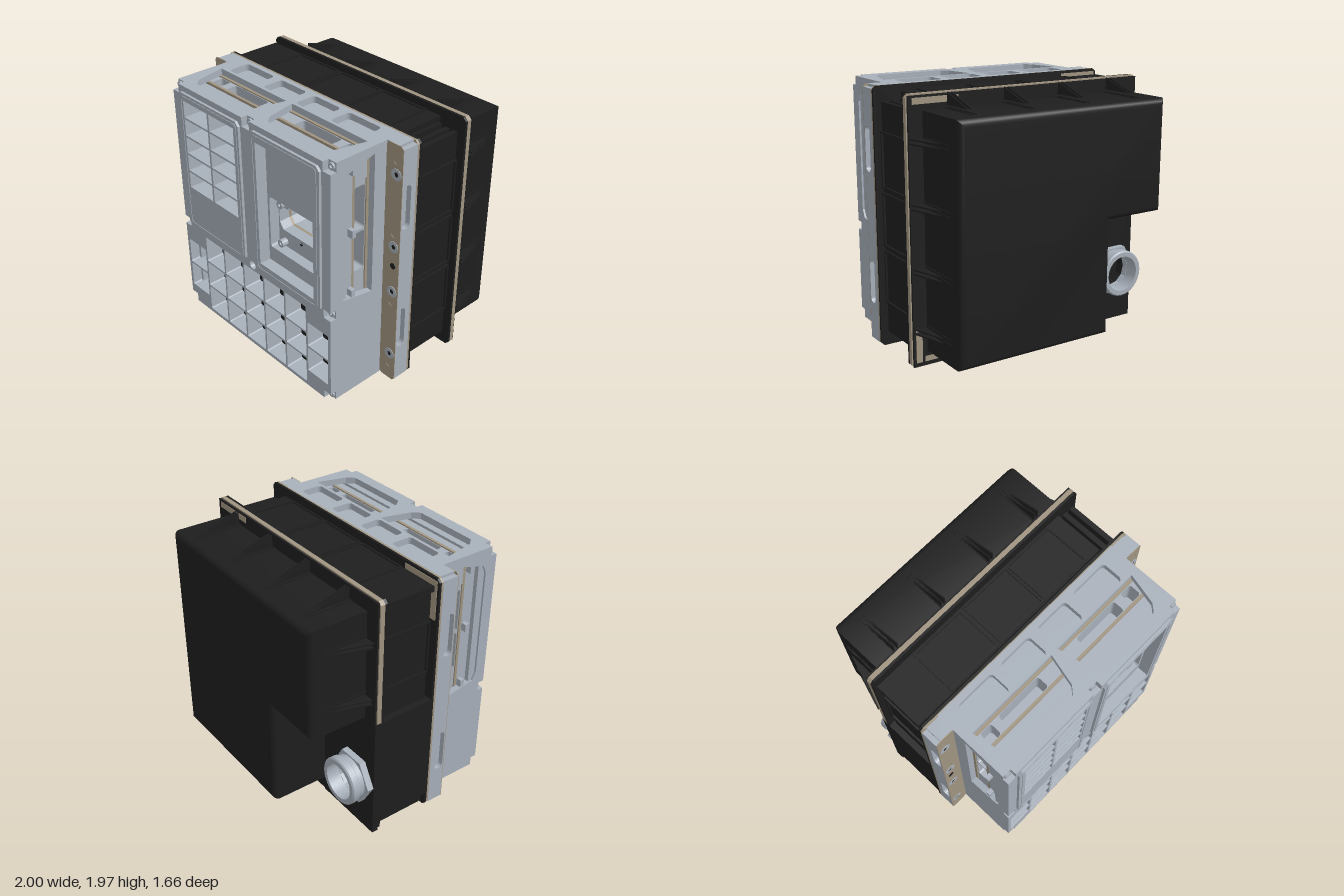
import * as THREE from 'three';
import { toCreasedNormals } from 'three/addons/utils/BufferGeometryUtils.js';

const paint = (name, color) => Object.assign(new THREE.MeshStandardMaterial({ color }), { name });

export function createModel() {
  const root = new THREE.Group();
  root.name = 'equipmentUnit';
  const grey = paint('grey', 0xa8b0ba), tan = paint('tan', 0xa09480), black = paint('black', 0x1e1e1e);

  // ---- helpers ----
  const add = (name, geo, mat) => {
    const m = new THREE.Mesh(geo, mat);
    m.name = name;
    root.add(m);
  };
  const box = (name, mat, x0, x1, y0, y1, z0, z1) =>
    add(name, new THREE.BoxGeometry(x1 - x0, y1 - y0, z1 - z0)
      .translate((x0 + x1) / 2, (y0 + y1) / 2, (z0 + z1) / 2), mat);
  const poly = pts => new THREE.Shape(pts.map(p => new THREE.Vector2(p[0], p[1])));
  const mirrored = pts => poly([...pts, ...pts.map(([x, y]) => [-x, y]).reverse()]);
  const rect = (x0, x1, y0, y1) => poly([[x0, y0], [x1, y0], [x1, y1], [x0, y1]]);
  const chamfered = (x0, x1, y0, y1, c) => poly([[x0 + c, y0], [x1 - c, y0], [x1, y0 + c], [x1, y1 - c],
    [x1 - c, y1], [x0 + c, y1], [x0, y1 - c], [x0, y0 + c]]);
  const round = (x0, x1, y0, y1, r) => {
    const s = new THREE.Shape();
    s.absarc(x1 - r, y0 + r, r, -Math.PI / 2, 0);
    s.absarc(x1 - r, y1 - r, r, 0, Math.PI / 2);
    s.absarc(x0 + r, y1 - r, r, Math.PI / 2, Math.PI);
    s.absarc(x0 + r, y0 + r, r, Math.PI, Math.PI * 1.5);
    return s;
  };
  const disc = (x, y, r) => new THREE.Shape().absarc(x, y, r, 0, Math.PI * 2);
  const extrude = (shape, holes, depth) => {
    shape.holes.push(...holes);
    return new THREE.ExtrudeGeometry(shape, { depth, bevelEnabled: false, curveSegments: 6 });
  };
  // Plates facing z, y (shape drawn as x, -z) and x (shape drawn as -z, y)
  const plateZ = (name, mat, shape, holes, z0, z1) =>
    add(name, extrude(shape, holes, z1 - z0).translate(0, 0, z0), mat);
  const plateY = (name, mat, shape, holes, y0, y1) =>
    add(name, extrude(shape, holes, y1 - y0).rotateX(-Math.PI / 2).translate(0, y0, 0), mat);
  const plateX = (name, mat, shape, holes, x0, x1) =>
    add(name, extrude(shape, holes, x1 - x0).rotateY(Math.PI / 2).translate(x0, 0, 0), mat);

  const H = 1.97, portX = -0.79, portY = 0.43;
  const quarterHole = () => {
    const s = new THREE.Shape();
    s.moveTo(portX + 0.005, portY);
    s.lineTo(portX + 0.14, portY);
    s.absarc(portX + 0.005, portY, 0.135, 0, Math.PI / 2);
    s.closePath();
    return s;
  };

  // ---- key cells ----
  const columns = [-0.478, -0.239, 0, 0.239, 0.478], cells = [];
  for (const x of columns) for (const y of [0.14, 0.377, 0.613]) cells.push([x, y, 0.111]);
  for (const x of [-0.715, 0.715]) for (const y of [0.257, 0.488]) cells.push([x, y, 0.108]);
  const cellHoles = () => cells.map(([x, y, r]) => round(x - r, x + r, y - r, y + r, 0.012));
  const slot = x => rect(x - 0.07, x + 0.07, 0.07, 0.132);

  // ---- front housing ----
  const grid = () => {
    const out = [];
    for (const x of [-0.705, -0.4])
      for (let i = 0; i < 5; i++) out.push(rect(x, x + 0.285, 1.14 + i * 0.148, 1.273 + i * 0.148));
    return out;
  };
  const recess = () => rect(0.12, 0.7, 0.86, 1.85);
  const display = () => poly([[0.15, 1.16], [0.19, 1.11], [0.63, 1.11], [0.67, 1.15], [0.67, 1.3], [0.58, 1.3],
    [0.58, 1.39], [0.25, 1.39], [0.25, 1.3], [0.15, 1.3]]);
  // front face, notched at its edges for the screws
  const notched = mirrored([[0.78, 0], [0.78, 0.07], [0.85, 0.07], [0.85, 0.74], [0.78, 0.74], [0.78, 0.81], [0.85, 0.81],
    [0.85, 1.9], [0.78, 1.9], [0.78, H], [0.04, H], [0.04, 1.9]]);
  plateZ('frontFace', grey, notched, [...cellHoles(), ...grid(), recess(), disc(0, 0.77, 0.035)], 0.76, 0.81);
  plateZ('frontPanel', grey, rect(-0.85, 0.85, 0, H), [...cellHoles(), ...grid(), recess()], 0.73, 0.76);
  plateZ('cellWalls', grey, rect(-0.835, 0.835, 0, 1.92), [...cellHoles(), ...grid(), recess()], 0.66, 0.73);
  for (const [x, y] of [[-0.815, 1.935], [0, 1.935], [0.815, 1.935], [-0.815, 0.775], [0, 0.77], [0.815, 0.775], [-0.815, 0.035], [0.815, 0.035]])
    plateZ('cornerScrew', grey, disc(x, y, 0.027), [disc(x, y, 0.012)], 0.76, 0.775);
  plateZ('leftDoor', grey, chamfered(-0.765, -0.06, 0.785, 1.925, 0.03), grid(), 0.81, 0.83);
  plateZ('rightDoor', grey, chamfered(0.06, 0.765, 0.785, 1.925, 0.03), [recess()], 0.81, 0.83);
  for (const [x0, x1] of [[-0.74, -0.08], [0.08, 0.74]])
    plateZ('doorRim', grey, round(x0, x1, 0.805, 1.905, 0.03), [round(x0 + 0.015, x1 - 0.015, 0.82, 1.89, 0.025)], 0.83, 0.834);

  // layered inside: grey blocks with two tan sheets between them
  plateZ('frontCore', grey, rect(-0.8, 0.8, 0, 1.9), [quarterHole(), display(), ...columns.map(slot)], 0.572, 0.66);
  plateZ('frontSheet', tan, rect(-0.8, 0.8, 0, 1.92), [quarterHole(), display()], 0.55, 0.572);
  plateZ('middleCore', grey, mirrored([[0.8, 0], [0.8, 0.7], [0.6, 0.7], [0.6, 1.72]]), [quarterHole(), display()], 0.442, 0.55);
  plateZ('backSheet', tan, rect(-0.8, 0.8, 0, 1.92), [quarterHole()], 0.42, 0.442);
  plateZ('backCore', grey, rect(-0.8, 0.8, 0, 1.92), [quarterHole()], 0.17, 0.42);

  // instrument pocket in the right door
  plateZ('instrumentFrame', grey, rect(0.12, 0.7, 0.86, 1.85), [round(0.14, 0.675, 0.98, 1.4, 0.02)], 0.66, 0.74);
  plateZ('instrumentDisplay', black, display(), [], 0.442, 0.448);
  for (const x of [0.21, 0.61]) for (const y of [1.02, 1.345]) {
    plateZ('instrumentPost', grey, disc(x, y, 0.03), [disc(x, y, 0.012)], 0.655, 0.71);
    plateZ('instrumentScrew', black, disc(x, y, 0.012), [], 0.66, 0.69);
  }
  plateZ('instrumentPin', black, disc(0.39, 1.08, 0.01), [], 0.66, 0.67);

  // keys at the bottom of the cells
  cells.forEach(([x, y, r], i) => {
    const open = x < -0.6 && y > 0.4, slotted = i < 15 && i % 3 === 0;
    plateZ('keyFloor', black, rect(x - r, x + r, y - r, y + r), open ? [quarterHole()] : slotted ? [slot(x)] : [], 0.655, 0.665);
    if (!open) plateZ('keyCap', black, rect(x - 0.075, x + 0.075, slotted ? y : y - 0.08, y + 0.08), [], 0.665, 0.676);
  });

  // top wall with two windows and four pockets
  const topWindow = (a, b) => poly([[a, -0.42], [a + 0.05, -0.66], [a + 0.1, -0.715], [b - 0.11, -0.715], [b - 0.06, -0.66], [b, -0.42]]);
  const pockets = [[-0.715, -0.4], [-0.32, -0.04], [0.04, 0.315], [0.395, 0.71]];
  plateY('topWall', grey, rect(-0.85, 0.85, -0.73, -0.17),
    [topWindow(-0.78, -0.03), topWindow(0.03, 0.78), ...pockets.map(([a, b]) => round(a, b, -0.395, -0.22, 0.03))], 1.92, H);
  const topSlots = [[-0.74, -0.64], [-0.57, -0.19], [0.19, 0.57], [0.64, 0.74]];
  plateY('topSlots', grey, rect(-0.8, 0.8, -0.55, -0.442), topSlots.map(([a, b]) => round(a, b, -0.545, -0.447, 0.02)), 1.72, 1.91);

  // side walls and mounting flanges, mirrored
  for (const s of [-1, 1]) {
    const span = (a, b) => (s > 0 ? [a, b] : [-b, -a]);
    const sideWindow = poly([[-0.42, 0.81], [-0.69, 0.86], [-0.72, 0.92], [-0.72, 1.78], [-0.69, 1.84], [-0.42, 1.91]]);
    plateX('sideWall', grey, rect(-0.73, -0.17, 0, 1.92), [sideWindow], ...span(0.8, 0.85));
    plateX('sideSlots', grey, rect(-0.55, -0.442, 0.7, 1.72),
      [[1.0, 1.31], [1.33, 1.67]].map(([a, b]) => round(-0.545, -0.447, a, b, 0.02)), ...span(0.6, 0.79));
    for (const y of [0.87, 1.36, 1.84]) box('sideWindowLug', grey, ...span(0.8, 0.845), y - 0.03, y + 0.03, 0.575, 0.61);

    box('flangeCore', grey, ...span(0.85, 0.96), 0, H, 0.18, 0.309);
    plateX('flangeSide', grey, rect(-0.309, -0.18, 0.02, H - 0.02),
      [round(-0.3, -0.225, 0.31, 0.65, 0.035), round(-0.3, -0.225, 1.33, 1.67, 0.035)], ...span(0.96, 1));
    const holes = [0.13, 0.7, 1.28, 1.85];
    plateZ('flangeFace', tan, chamfered(...span(0.85, 1), 0, H, 0.02), holes.map(y => disc(s * 0.945, y, 0.026)), 0.309, 0.314);
    for (const y of holes) plateZ('flangeHole', tan, disc(s * 0.945, y, 0.026), [], 0.308, 0.311);
    for (const y of [0.235, 0.8, 1.18, 1.75]) {
      plateZ('flangeWasher', grey, disc(s * 0.945, y, 0.045), [disc(s * 0.945, y, 0.018)], 0.31, 0.318);
      plateZ('flangeScrew', black, disc(s * 0.945, y, 0.018), [], 0.31, 0.316);
    }
    plateZ('flangePin', black, disc(s * 0.945, 1.02, 0.024), [], 0.31, 0.317);
  }

  // ---- plates between the sections ----
  const fullPlate = () => chamfered(-1, 1, 0, H, 0.025);
  const portHole = () => [disc(portX, portY, 0.14)];
  plateZ('frontGasket', tan, fullPlate(), portHole(), 0.163, 0.18);
  plateZ('middleFrontPlate', black, fullPlate(), portHole(), 0.145, 0.163);
  plateZ('gasketCorner', tan, poly([[-0.98, 1.65], [-0.9, 1.65], [-0.9, 1.89], [-0.65, 1.89], [-0.65, 1.95], [-0.98, 1.95]]), [], 0.141, 0.146);
  plateZ('middleBackPlate', black, fullPlate(), portHole(), -0.31, -0.29);
  const upperPlate = poly([[-0.4, 0], [0.975, 0], [1, 0.025], [1, 1.945], [0.975, H], [-0.975, H], [-1, 1.945], [-1, 1], [-0.4, 1]]);
  plateZ('backGasket', tan, upperPlate, [], -0.345, -0.31);
  plateZ('portPlate', black, rect(-1, -0.4, 0, 1), portHole(), -0.36, -0.31);
  plateZ('backPlate', black, poly([[-0.4, 0.01], [0.99, 0.01], [0.99, 1.96], [-0.99, 1.96], [-0.99, 1], [-0.4, 1]]), [], -0.36, -0.345);
  for (const [x0, x1, y0, y1] of [[0.6, 0.96, 1.9, 1.945], [0.92, 0.97, 0.04, 0.3], [0.45, 0.9, 0.04, 0.08]])
    box('backGasketPatch', tan, x0, x1, y0, y1, -0.364, -0.358);

  // ---- middle section ----
  plateZ('middleBody', black, poly([[-1, 0.12], [0.79, 0.12], [0.79, 1.86], [-0.82, 1.86], [-0.82, 1], [-1, 1]]), [quarterHole()], -0.29, 0.145);
  const bays = [[0.35, 0.76], [0.79, 1.2], [1.23, 1.65]];
  for (const s of [-1, 1]) {
    const span = (a, b) => (s > 0 ? [a, b] : [-b, -a]);
    const y0 = s > 0 ? 0.12 : 1;
    for (const [a, b] of [[0.84, 0.88], [0.91, 0.95]]) box('sideRail', black, ...span(a, b), y0, 1.86, -0.27, 0.12);
    for (const [a, b] of bays) if (a > y0)
      plateX('sideBayRim', black, rect(-0.12, 0.27, a, b), [rect(-0.105, 0.255, a + 0.015, b - 0.015)], ...span(0.95, 0.965));
  }
  for (const [a, b, r0, r1] of [[1.885, 1.925, 1.925, 1.935], [0.05, 0.1, 0.04, 0.05]]) {
    box('crossRail', black, -0.98, 0.79, a, b, -0.27, 0.12);
    for (const x of [-0.66, -0.19, 0.22])
      plateY('crossRailRim', black, rect(x, x + 0.45, -0.11, 0.26), [rect(x + 0.015, x + 0.435, -0.095, 0.245)], r0, r1);
  }

  // ---- back cover with a notch for the port ----
  const b = 0.05;
  const cover = poly([[-0.4 + b, 0.12 + b], [0.88 - b, 0.12 + b], [0.88 - b, 1.855 - b], [-0.88 + b, 1.855 - b], [-0.88 + b, 1 + b], [-0.4 + b, 1 + b]]);
  const coverGeo = new THREE.ExtrudeGeometry(cover, { depth: 0.42, bevelSize: b, bevelThickness: b, bevelSegments: 5 });
  add('backCover', toCreasedNormals(coverGeo.translate(0, 0, -0.78), 0.6), black);

  // low ridges and raised fins around the cover, in pairs
  const ridge = [[0.36, -0.01], [0.36, 0.008], [0.72, 0.006], [0.75, -0.01]];
  const fin = [[0.385, 0.028], [0.385, 0.115], [0.66, 0.028]];
  for (const c of [-0.7, -0.25, 0.22, 0.68]) for (const d of [-0.02, 0.012]) for (const part of [ridge, fin]) {
    const x = c + d, y = 0.985 + c * 0.985 + d, name = part === fin ? 'coverFin' : 'coverRidge';
    plateX(name, black, poly(part.map(([z, h]) => [z, 1.855 + h])), [], x, x + 0.01);
    if (x > -0.4) plateX(name, black, poly(part.map(([z, h]) => [z, 0.12 - h])), [], x, x + 0.01);
    plateY(name, black, poly(part.map(([z, h]) => [0.88 + h, z])), [], y, y + 0.01);
    if (y > 1) plateY(name, black, poly(part.map(([z, h]) => [-0.88 - h, z])), [], y, y + 0.01);
  }

  // ---- cable port ----
  const hex = poly([0, 1, 2, 3, 4, 5].map(i => [portX + 0.21 * Math.cos(i * Math.PI / 3), portY + 0.21 * Math.sin(i * Math.PI / 3)]));
  plateZ('portNut', grey, hex, portHole(), -0.41, -0.36);
  const ring = [[0.14, 0], [0.17, 0], [0.17, 0.04], [0.185, 0.05], [0.185, 0.1], [0.175, 0.11], [0.14, 0.11], [0.14, 0]]
    .map(p => new THREE.Vector2(...p));
  const portGeo = toCreasedNormals(new THREE.LatheGeometry(ring, 32).rotateX(-Math.PI / 2), 0.6);
  add('portCollar', portGeo.translate(portX, portY, -0.41), grey);
  return root;
}
